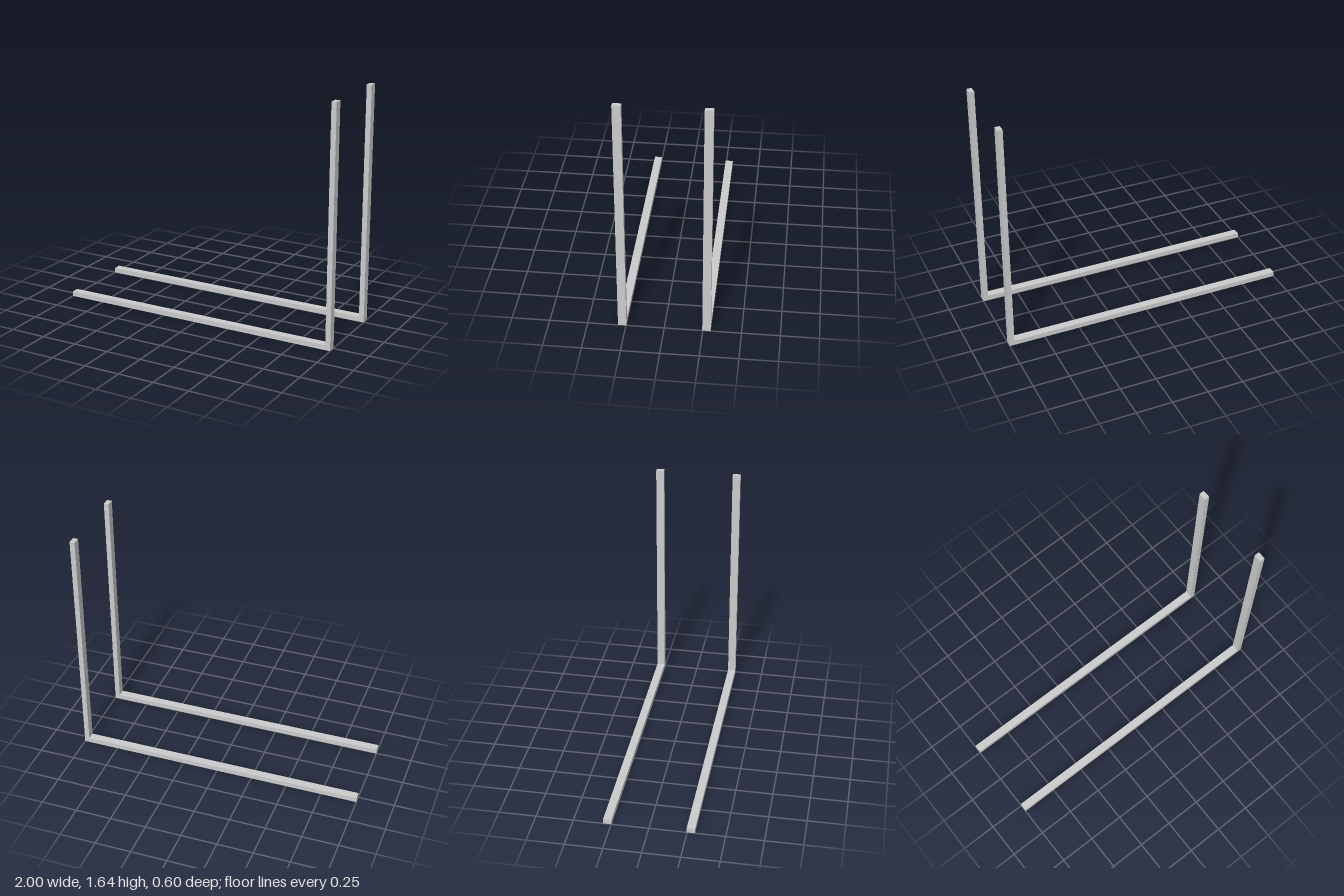
import * as THREE from 'three';

const HEIGHT = 1.64;      // upright height
const THICKNESS = 0.035;  // bar thickness in the L plane
const WIDTH = 0.055;      // bar width along z
const OFFSET = 0.274;     // distance of each bracket's centre from z = 0

export function createModel() {
  const model = new THREE.Group();
  const material = new THREE.MeshStandardMaterial({ color: 0xcccccc, flatShading: true });

  // L-shaped profile: long foot along x, upright at the +x end
  const inner = 1 - THICKNESS;
  const profile = new THREE.Shape([
    [-1, 0], [1, 0], [1, HEIGHT], [inner, HEIGHT], [inner, THICKNESS], [-1, THICKNESS],
  ].map(([x, y]) => new THREE.Vector2(x, y)));

  const geometry = new THREE.ExtrudeGeometry(profile, { depth: WIDTH, bevelEnabled: false });
  geometry.translate(0, 0, -WIDTH / 2);

  // Matching pair of fork arms
  for (const [name, side] of [['frontForkArm', 1], ['backForkArm', -1]]) {
    const arm = new THREE.Mesh(geometry, material);
    arm.name = name;
    arm.position.z = side * OFFSET;
    model.add(arm);
  }
  return model;
}
